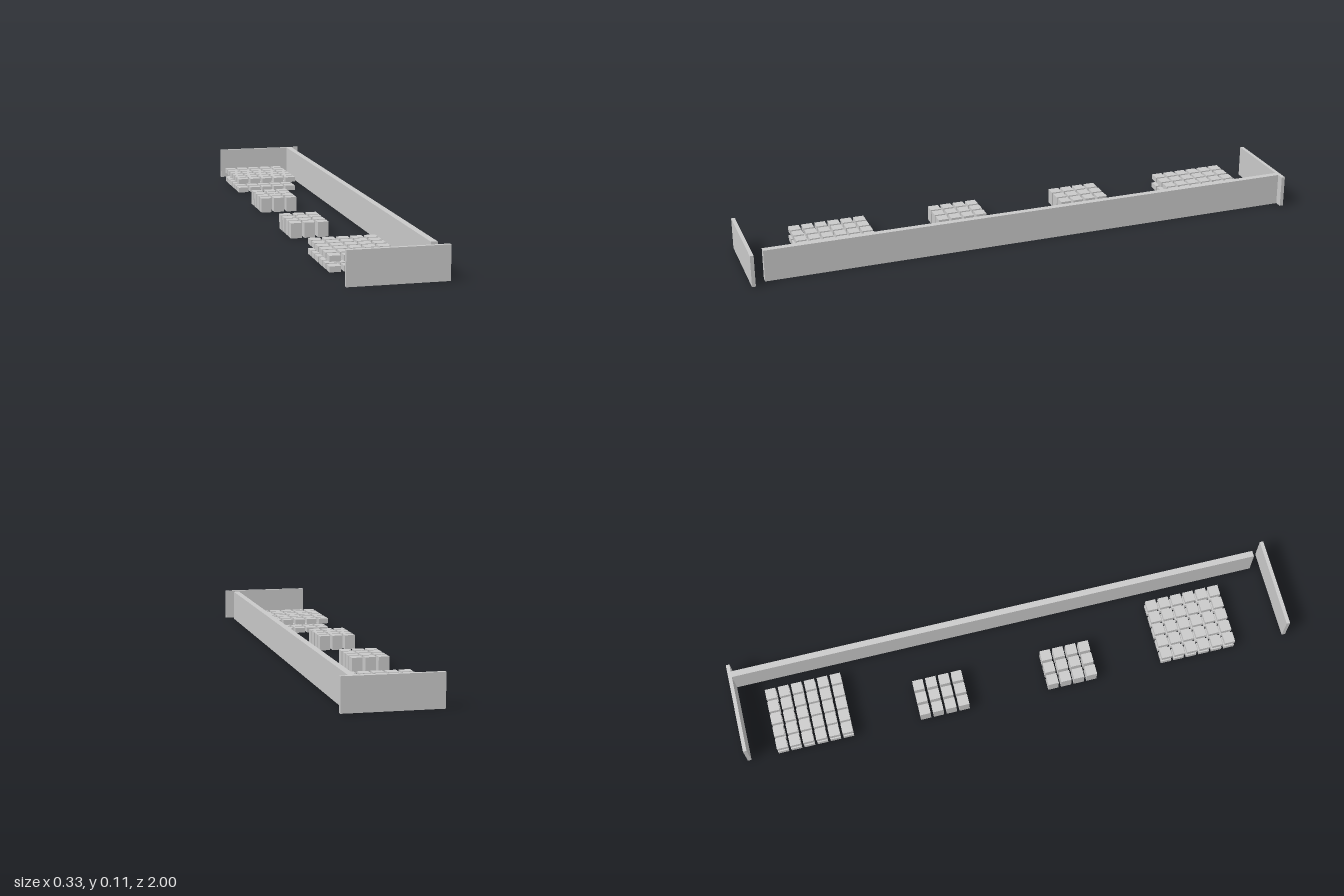
import * as THREE from 'three';

export function createModel() {
  const model = new THREE.Group();
  const grey = new THREE.MeshStandardMaterial({ color: 0xc8c8c8 });
  grey.name = 'lightGrey';

  // Box given by its minimum and maximum corners
  function box(parent, name, [x0, y0, z0], [x1, y1, z1]) {
    const mesh = new THREE.Mesh(new THREE.BoxGeometry(x1 - x0, y1 - y0, z1 - z0), grey);
    mesh.position.set((x0 + x1) / 2, (y0 + y1) / 2, (z0 + z1) / 2);
    mesh.name = name;
    parent.add(mesh);
  }

  // Walls: one long wall and two end walls
  const height = 0.114;
  box(model, 'longWall', [0.116, 0, -0.987], [0.138, height, 0.95]);
  box(model, 'backEndWall', [-0.165, 0, -1], [0.165, height, -0.987]);
  box(model, 'frontEndWall', [-0.165, 0, 0.987], [0.165, height, 1]);

  // Grids of square blocks, in one or more layers
  const size = 0.038, pitch = 0.0474, left = -0.165;
  function blockGrid(name, zStart, columns, rows, layers) {
    const group = new THREE.Group();
    group.name = name;
    for (const [y0, y1] of layers) {
      for (let i = 0; i < columns; i++) {
        for (let j = 0; j < rows; j++) {
          const x = left + i * pitch, z = zStart + j * pitch;
          box(group, 'block', [x, y0, z], [x + size, y1, z + size]);
        }
      }
    }
    model.add(group);
  }

  const slabs = [[0, 0.019], [0.034, 0.053]];
  const tall = [[0, 0.053]];
  blockGrid('backSlabStack', -0.888, 5, 6, slabs);
  blockGrid('backBlocks', -0.368, 3, 4, tall);
  blockGrid('frontBlocks', 0.104, 3, 4, tall);
  blockGrid('frontSlabStack', 0.527, 5, 6, slabs);

  return model;
}
